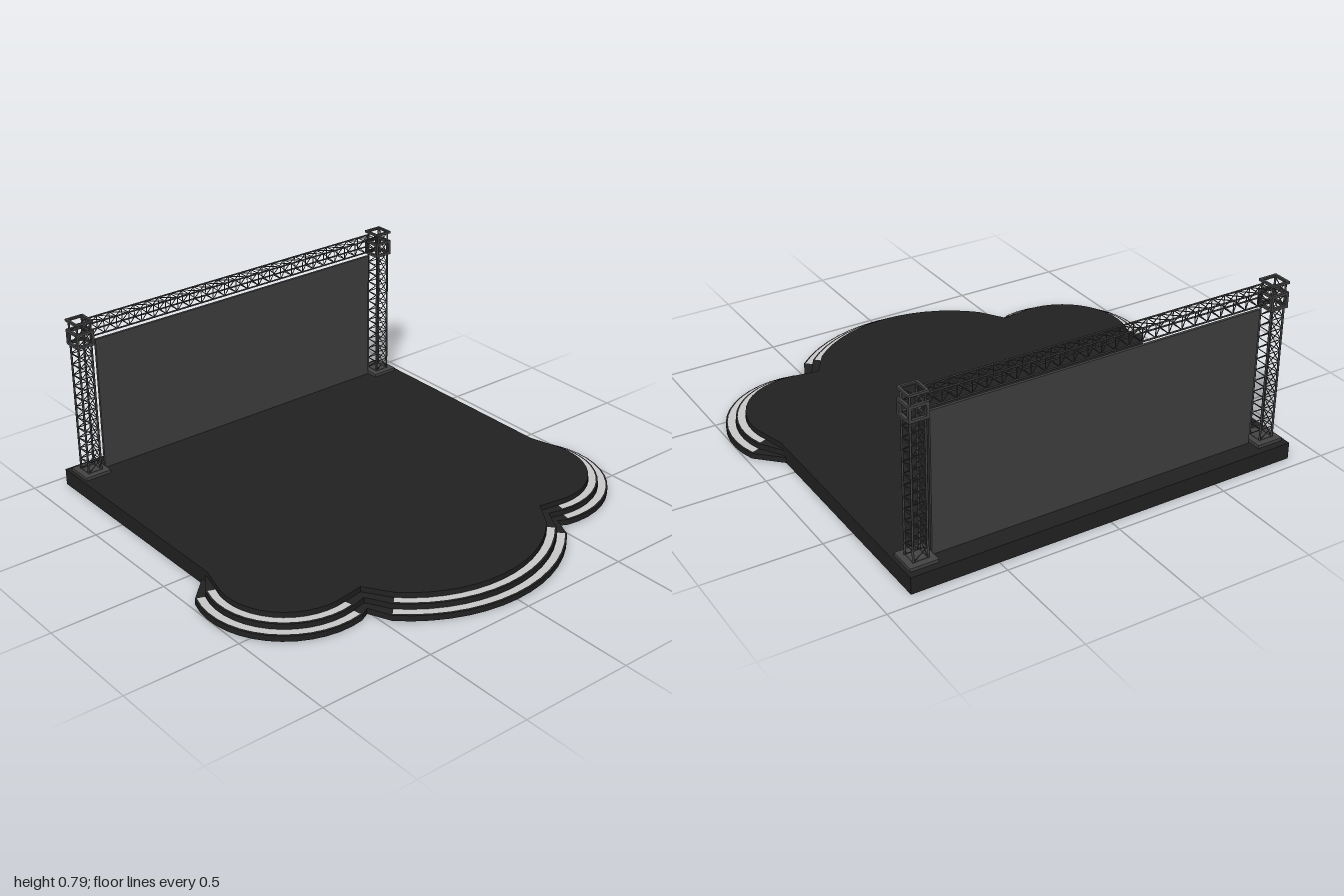
import * as THREE from 'three';
import { mergeGeometries } from 'three/addons/utils/BufferGeometryUtils.js';

const V = (x, y, z) => new THREE.Vector3(x, y, z);
const rad = THREE.MathUtils.degToRad;
const paint = (color, side = THREE.FrontSide) => new THREE.MeshStandardMaterial({ color, side });

const deckMat = paint(0x222222, THREE.DoubleSide);
const stripMat = paint(0xcccccc, THREE.DoubleSide);
const steelMat = paint(0x444444);
const screenMat = paint(0x404040);

const HALF = 0.873, BACK = -0.945, TOWER_X = 0.8, TOWER_Z = -0.855, DECK_Y = 0.073;
const LEVELS = [0, 0.025, 0.049, DECK_Y];

// Rounded bays of the stage front; angles run from +x towards +z
const CENTRE = { x: 0, z: 0.28, r: 0.66, from: 45, to: 135, n: 14 };
const SIDE = { x: 0.63, z: 0.31, r: 0.37, from: -20, to: 102, n: 14 };
const INSET = [0, 0.043, 0.085];

function mesh(geometry, material, name) {
  const m = new THREE.Mesh(geometry, material);
  m.name = name;
  return m;
}

function arc(bay, inset) {
  return Array.from({ length: bay.n + 1 }, (_, i) => {
    const a = rad(bay.from + (bay.to - bay.from) * i / bay.n);
    return [bay.x + (bay.r - inset) * Math.cos(a), bay.z + (bay.r - inset) * Math.sin(a)];
  });
}

// Plan outline of one tier as [x, z] pairs
function outline(tier) {
  const right = [
    [HALF, BACK], [HALF, 0.08 + tier * 0.02],
    ...arc(SIDE, INSET[tier]),
    [0.51 - tier * 0.015, 0.65 - tier * 0.038],
  ];
  const left = right.map(([x, z]) => [-x, z]).reverse();
  return [...right, ...arc(CENTRE, INSET[tier]), ...left];
}

// Stepped shell, open underneath: risers and treads, then the deck surface
function stageGeometry() {
  const rings = [];
  for (let t = 0; t < 3; t++) {
    const o = outline(t);
    rings.push(o.map(([x, z]) => V(x, LEVELS[t], z)), o.map(([x, z]) => V(x, LEVELS[t + 1], z)));
  }
  const pts = [];
  for (let r = 0; r < rings.length - 1; r++) {
    const lo = rings[r], hi = rings[r + 1];
    lo.forEach((p, i) => {
      const j = (i + 1) % lo.length;
      pts.push(p, hi[i], lo[j], hi[i], hi[j], lo[j]);
    });
  }
  const shell = new THREE.BufferGeometry().setFromPoints(pts);
  shell.computeVertexNormals();
  const shape = new THREE.Shape(outline(2).map(([x, z]) => new THREE.Vector2(x, -z)));
  const top = new THREE.ShapeGeometry(shape).rotateX(-Math.PI / 2).translate(0, DECK_Y, 0).toNonIndexed();
  top.deleteAttribute('uv');
  return mergeGeometries([shell, top]);
}

// Pale strip lying on a tread
function stripGeometry(bay, tier) {
  const outer = bay.r - INSET[tier] - 0.008, inner = bay.r - INSET[tier + 1] + 0.003;
  return new THREE.RingGeometry(inner, outer, bay.n, 1, rad(-bay.to), rad(bay.to - bay.from))
    .rotateX(-Math.PI / 2).translate(bay.x, LEVELS[tier + 1] + 0.002, bay.z);
}

function bar(a, b, radius) {
  const d = b.clone().sub(a), mid = a.clone().add(b).multiplyScalar(0.5);
  const g = new THREE.CylinderGeometry(radius, radius, d.length(), 6);
  g.applyQuaternion(new THREE.Quaternion().setFromUnitVectors(V(0, 1, 0), d.normalize()));
  return g.translate(mid.x, mid.y, mid.z);
}

// Square lattice truss rising from y = 0
function trussGeometry(length, half, bays, chord, brace) {
  const corners = [[1, 1], [-1, 1], [-1, -1], [1, -1]];
  const at = (k, y) => V(corners[k % 4][0] * half, y, corners[k % 4][1] * half);
  const parts = [];
  for (let k = 0; k < 4; k++) {
    parts.push(bar(at(k, 0), at(k, length), chord));
    for (let i = 0; i <= bays; i++) {
      const y = length * i / bays;
      parts.push(bar(at(k, y), at(k + 1, y), brace));
      if (i < bays) parts.push(bar(at(k + 1, y), at(k, y + length / bays), brace));
    }
  }
  return mergeGeometries(parts);
}

// Flat square ring, or with a height the edges of a box
function squareFrame(half, t, y) {
  const parts = [];
  for (const s of [-1, 1]) {
    parts.push(new THREE.BoxGeometry(half * 2, t, t).translate(0, y, s * (half - t / 2)));
    parts.push(new THREE.BoxGeometry(t, t, half * 2 - t * 2).translate(s * (half - t / 2), y, 0));
  }
  return parts;
}

function sleeveGeometry(half, t, y0, y1) {
  const parts = [...squareFrame(half, t, y0 + t / 2), ...squareFrame(half, t, y1 - t / 2)];
  for (const x of [-1, 1]) for (const z of [-1, 1]) {
    parts.push(new THREE.BoxGeometry(t, y1 - y0, t)
      .translate(x * (half - t / 2), (y0 + y1) / 2, z * (half - t / 2)));
  }
  return mergeGeometries(parts);
}

function tower(name) {
  const g = new THREE.Group();
  g.name = name;
  const plate = new THREE.BoxGeometry(0.12, 0.014, 0.12).translate(0, DECK_Y + 0.007, 0);
  const lattice = trussGeometry(0.69, 0.031, 14, 0.0045, 0.002).translate(0, 0.087, 0);
  g.add(
    mesh(plate, steelMat, 'basePlate'),
    mesh(lattice, steelMat, 'towerLattice'),
    mesh(sleeveGeometry(0.042, 0.012, 0.672, 0.74), steelMat, 'sleeveBlock'),
    mesh(mergeGeometries(squareFrame(0.042, 0.01, 0.78)), steelMat, 'topFrame'),
  );
  return g;
}

export function createModel() {
  const model = new THREE.Group();
  model.name = 'stage';
  model.add(mesh(stageGeometry(), deckMat, 'steppedDeck'));

  // Step strips on the three bays
  for (const tier of [0, 1]) {
    model.add(mesh(stripGeometry(CENTRE, tier), stripMat, 'centreStepStrip'));
    model.add(mesh(stripGeometry(SIDE, tier), stripMat, 'leftStepStrip'));
    const mirrored = { ...SIDE, x: -SIDE.x, from: 180 - SIDE.to, to: 180 - SIDE.from };
    model.add(mesh(stripGeometry(mirrored, tier), stripMat, 'rightStepStrip'));
  }

  // Towers
  for (const [name, s] of [['leftTower', 1], ['rightTower', -1]]) {
    const t = tower(name);
    t.position.set(s * TOWER_X * 0.983, 0, TOWER_Z);
    t.position.x = s * 0.798;
    model.add(t);
  }

  // Cross beam between the towers
  const beam = trussGeometry(1.52, 0.028, 25, 0.0035, 0.002)
    .translate(0, -0.76, 0).rotateZ(-Math.PI / 2).translate(0, 0.737, TOWER_Z);
  model.add(mesh(beam, steelMat, 'crossBeam'));

  // Backdrop screen
  const screen = new THREE.BoxGeometry(1.468, 0.604, 0.012).translate(0.002, DECK_Y + 0.302, TOWER_Z);
  model.add(mesh(screen, screenMat, 'backdropScreen'));

  return model;
}
